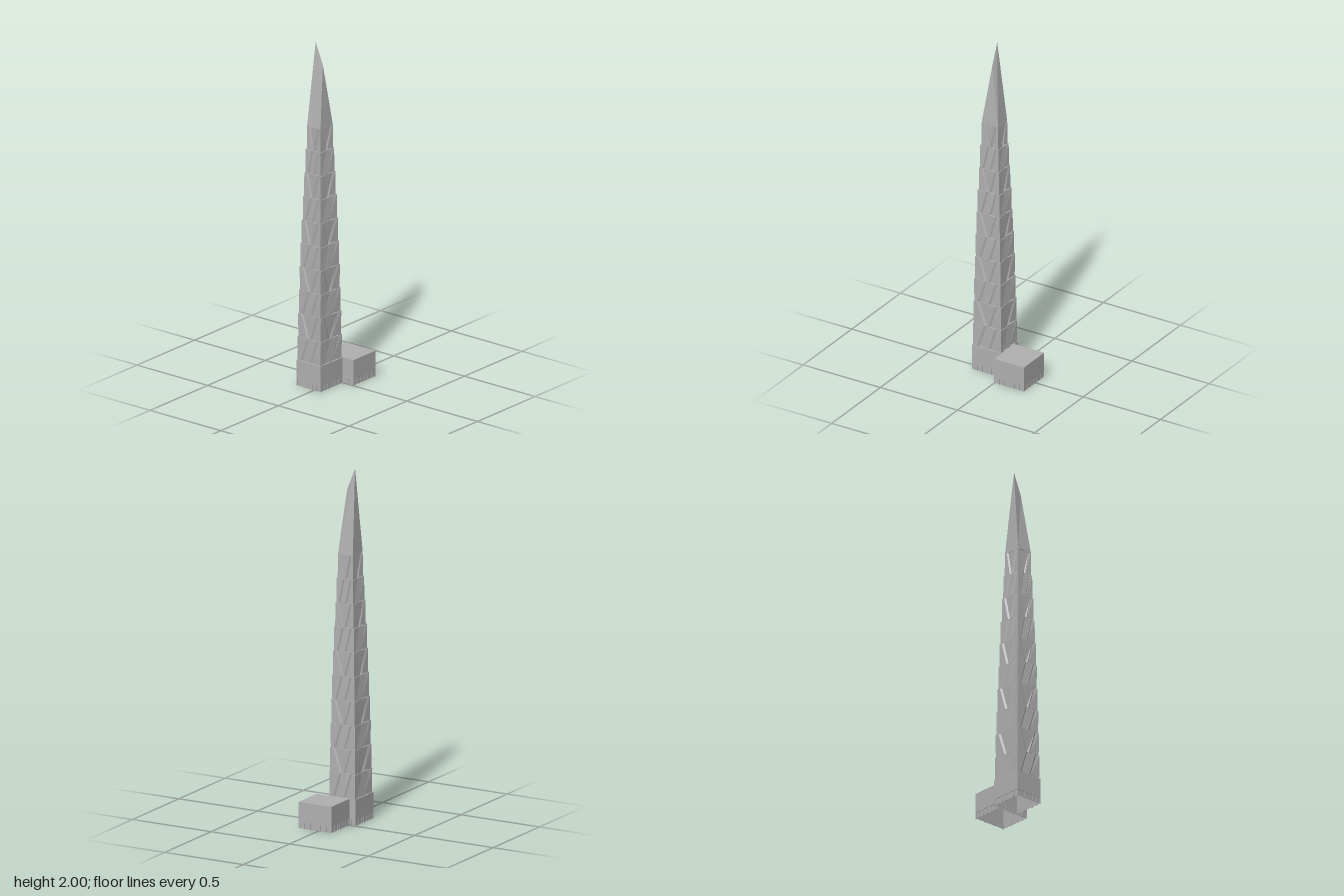
import * as THREE from 'three';

const TIERS = 10, Y0 = 0.15, Y1 = 1.52;
const lerp = THREE.MathUtils.lerp;

// Skin between rings of equal length, ordered anticlockwise seen from above.
function loft(rings, cap) {
  const pos = [];
  const tri = (...pts) => pts.forEach((p) => pos.push(p[0], p[1], p[2]));
  for (let r = 0; r + 1 < rings.length; r++) {
    const a = rings[r], b = rings[r + 1], n = a.length;
    for (let i = 0; i < n; i++) {
      const j = (i + 1) % n;
      tri(a[i], a[j], b[j]);
      tri(a[i], b[j], b[i]);
    }
  }
  if (cap) {
    const t = rings[rings.length - 1];
    for (let i = 1; i + 1 < t.length; i++) tri(t[0], t[i], t[i + 1]);
  }
  const g = new THREE.BufferGeometry();
  g.setAttribute('position', new THREE.Float32BufferAttribute(pos, 3));
  g.computeVertexNormals();
  return g;
}

// Four corners of a level rectangle, grown outwards by e.
const rect = ([x0, x1, z0, z1], y, e = 0) => [
  [x1 + e, y, z1 + e], [x1 + e, y, z0 - e], [x0 - e, y, z0 - e], [x0 - e, y, z1 + e],
];

// Shaft outline at a height.
function shaftBounds(y) {
  const t = (y - Y0) / (Y1 - Y0);
  const bulge = 0.005 * Math.sin(Math.PI * t);
  return [
    lerp(-0.121, -0.079, t) - bulge, lerp(0.045, 0.011, t) + bulge,
    lerp(0.003, 0.046, t) - bulge, lerp(0.188, 0.149, t) + bulge,
  ];
}

// Pleated ring: each side has sawtooth panels whose folds slant between bottom and top.
function pleatRing(tier, y, top) {
  const corners = rect(shaftBounds(y), y, top ? 0.002 : -0.002);
  const ring = [];
  for (let s = 0; s < 4; s++) {
    const a = corners[s], b = corners[(s + 1) % 4];
    const dx = b[0] - a[0], dz = b[2] - a[2], len = Math.hypot(dx, dz);
    const nx = -dz / len, nz = dx / len;
    const put = (u, d) => ring.push([a[0] + dx * u + nx * d, y, a[2] + dz * u + nz * d]);
    put(0, 0);
    [0.3, 0.7].forEach((u, k) => {
      const dir = tier % 2 ? (k ? 1 : -1) : 1;
      const c = u + (top ? 1 : -1) * dir * 0.13;
      put(c - 0.035, 0.001);
      put(c + 0.035, -0.006);
    });
  }
  return ring;
}

export function createModel() {
  const model = new THREE.Group();
  const stone = new THREE.MeshStandardMaterial({ color: 0xb0b0b0, side: THREE.DoubleSide });
  stone.name = 'grey stone';
  const add = (parent, name, geometry) => {
    const m = new THREE.Mesh(geometry, stone);
    m.name = name;
    parent.add(m);
    return m;
  };

  // Open-bottomed block with a recessed ground storey behind thin piers.
  function block(name, bounds) {
    const g = new THREE.Group();
    g.name = name;
    add(g, name + 'Walls', loft([
      rect(bounds, 0, -0.003), rect(bounds, 0.036, -0.003),
      rect(bounds, 0.036), rect(bounds, Y0),
    ], true));
    const corners = rect(bounds, 0.018, -0.002);
    for (let s = 0; s < 4; s++) {
      const a = corners[s], b = corners[(s + 1) % 4];
      for (let i = 0; i < 6; i++) {
        const pier = add(g, 'pier', new THREE.BoxGeometry(0.004, 0.036, 0.004));
        pier.position.set(lerp(a[0], b[0], i / 6), 0.018, lerp(a[2], b[2], i / 6));
      }
    }
    model.add(g);
  }
  block('towerBase', [-0.124, 0.048, 0.001, 0.192]);
  block('annex', [-0.085, 0.123, -0.193, 0]);

  // Tapering shaft of stacked pleated tiers
  const rings = [];
  const step = (Y1 - Y0) / TIERS;
  for (let t = 0; t < TIERS; t++) {
    rings.push(pleatRing(t, Y0 + t * step, false), pleatRing(t, Y0 + (t + 1) * step, true));
  }
  add(model, 'pleatedShaft', loft(rings, true));

  // Smooth crown rising to a sloping ridge
  const high = [-0.064, 2, 0.098], low = [-0.013, 1.875, 0.098];
  add(model, 'crown', loft([rect(shaftBounds(Y1), Y1, 0.002), [low, low, high, high]], false));

  return model;
}
